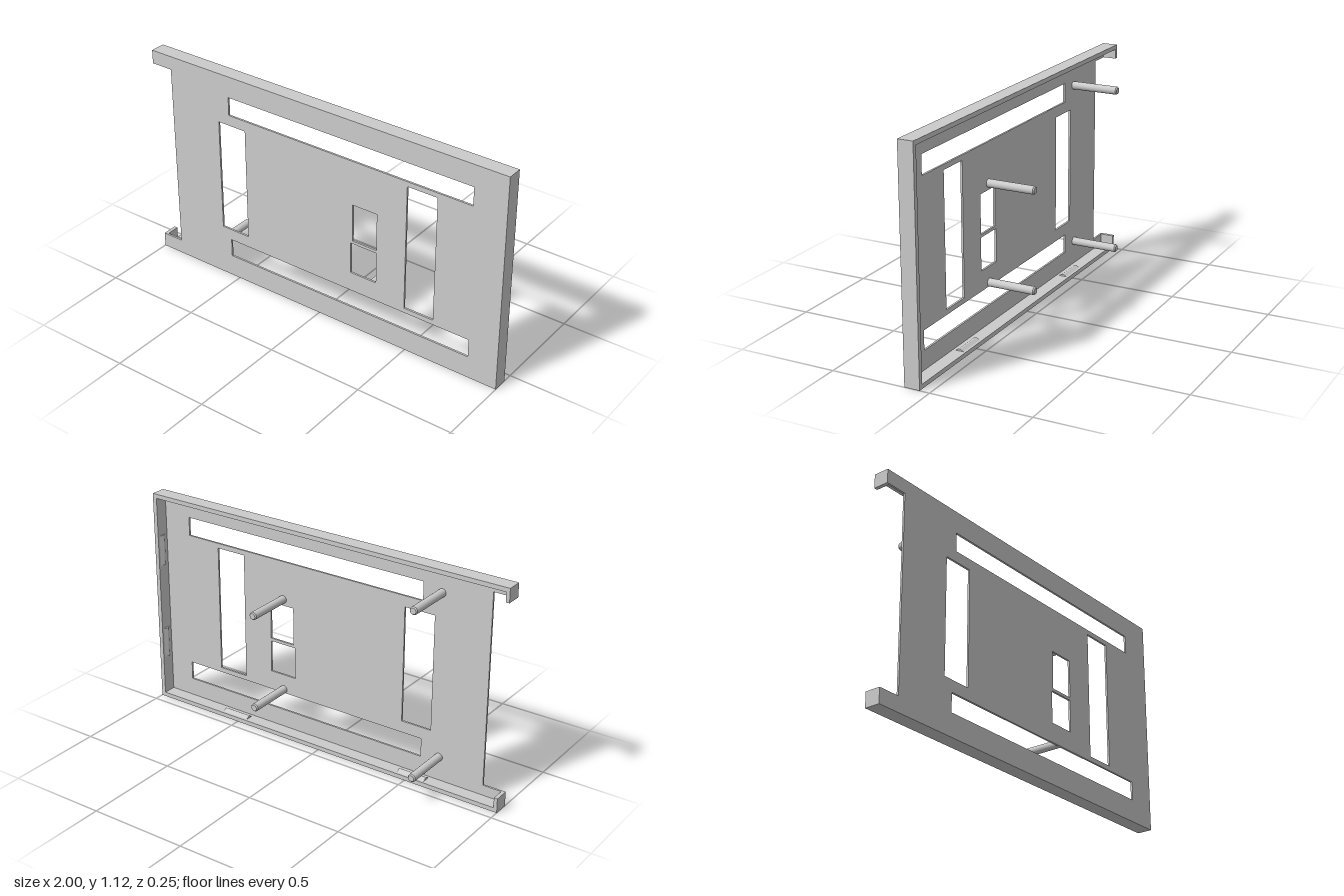
import * as THREE from 'three';

const BACK = 0.05, FRONT = 0.127, PLATE = 0.01, WALL = 0.022;
const TOP = 1.12, CUT_X = -0.885, CUT_LOW = 0.075, CUT_HIGH = 1.05;

const polygon = (points) => new THREE.Shape(points.map(([x, y]) => new THREE.Vector2(x, y)));

function rectHole(x0, x1, y0, y1) {
  const path = new THREE.Path();
  path.moveTo(x0, y0).lineTo(x0, y1).lineTo(x1, y1).lineTo(x1, y0).closePath();
  return path;
}

const extrude = (shape, depth, z) =>
  new THREE.ExtrudeGeometry(shape, { depth, bevelEnabled: false }).translate(0, 0, z);

// Triangular ridge: length along x, rising along +y, width along z
function ridgeGeometry(length) {
  const shape = polygon([[-0.021, 0], [0.021, 0], [0.004, 0.01], [-0.004, 0.01]]);
  return extrude(shape, length, -length / 2).rotateY(Math.PI / 2);
}

export function createModel() {
  const group = new THREE.Group();
  const material = new THREE.MeshStandardMaterial({ color: 0xcccccc });
  const add = (name, geometry) => {
    const mesh = new THREE.Mesh(geometry, material);
    mesh.name = name;
    group.add(mesh);
    return mesh;
  };

  // Thin front plate, notched at one end and pierced by windows
  const plate = polygon([
    [-1, 0], [1, 0], [1, TOP], [-1, TOP],
    [-1, CUT_HIGH], [CUT_X, CUT_HIGH], [CUT_X, CUT_LOW], [-1, CUT_LOW],
  ]);
  plate.holes = [
    rectHole(-0.53, 0.83, 0.915, 1.01),
    rectHole(-0.545, 0.845, 0.115, 0.21),
    rectHole(-0.595, -0.435, 0.27, 0.86),
    rectHole(0.49, 0.65, 0.235, 0.89),
    rectHole(0.195, 0.33, 0.49, 0.685),
    rectHole(0.185, 0.33, 0.31, 0.475),
  ];
  add('frontPlate', extrude(plate, PLATE, FRONT - PLATE));

  // Rim wall around three sides, with short return lips at the open end
  const lip = -1 + 0.018, inner = TOP - WALL;
  const rim = polygon([
    [-1, 0], [1, 0], [1, TOP], [-1, TOP], [-1, CUT_HIGH], [lip, CUT_HIGH],
    [lip, inner], [1 - WALL, inner], [1 - WALL, WALL], [lip, WALL],
    [lip, CUT_LOW], [-1, CUT_LOW],
  ]);
  add('rimWall', extrude(rim, FRONT - PLATE - BACK, BACK));

  // Snap ridges inside the bottom wall and the closed end wall
  for (const x of [-0.525, 0.525]) {
    add('bottomSnapRidge', ridgeGeometry(0.15)).position.set(x, WALL, 0.083);
  }
  for (const y of [0.305, 0.815]) {
    const ridge = add('endSnapRidge', ridgeGeometry(0.16));
    ridge.position.set(1 - WALL, y, 0.083);
    ridge.rotation.z = Math.PI / 2;
  }

  // Round mounting pegs with chamfered tips, pointing backwards
  const R = 0.02, length = FRONT - PLATE + 0.127;
  const peg = (radius, top, bottom, z) => // one section of the peg
    new THREE.CylinderGeometry(top, radius, bottom, 32).rotateX(-Math.PI / 2).translate(0, 0, z);
  for (const [x, y] of [[-0.628, 0.98], [-0.645, 0.145], [0.255, 0.718], [0.255, 0.23]]) {
    const post = new THREE.Group();
    post.name = 'mountingPeg';
    const shaft = new THREE.Mesh(peg(R, R, length - 0.006, -(length - 0.006) / 2), material);
    const tip = new THREE.Mesh(peg(R, R - 0.005, 0.006, -length + 0.003), material);
    shaft.name = 'pegShaft';
    tip.name = 'pegTip';
    post.add(shaft, tip);
    post.position.set(x, y, FRONT - PLATE);
    group.add(post);
  }
  return group;
}
